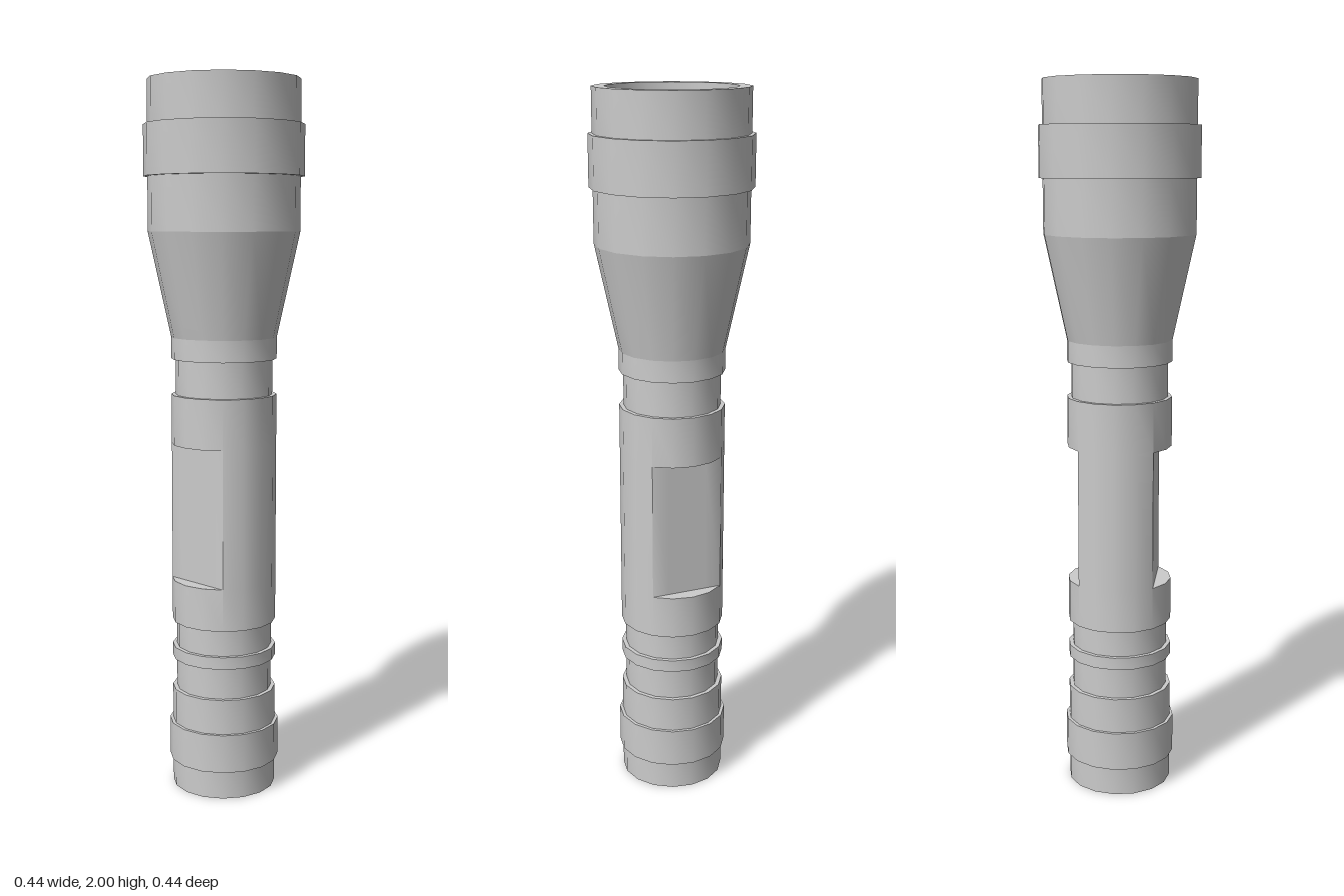
import * as THREE from 'three';
import { toCreasedNormals } from 'three/addons/utils/BufferGeometryUtils.js';

const SIDES = 16;
const material = new THREE.MeshStandardMaterial({ color: 0xcccccc });

// Turned part from [radius, height] pairs, smooth around and sharp at the steps
function turned(name, profile, reshape) {
  const points = profile.map(([r, y]) => new THREE.Vector2(r, y));
  const geometry = new THREE.LatheGeometry(points, SIDES);
  if (reshape) reshape(geometry.attributes.position, points.length);
  const mesh = new THREE.Mesh(toCreasedNormals(geometry, 0.6), material);
  mesh.name = name;
  return mesh;
}

export function createModel() {
  const group = new THREE.Group();
  group.name = 'flashlight';

  const grip = 0.148, groove = 0.136, ring = 0.157;
  const head = 0.211, bezelRing = 0.222, lens = 0.178;

  // Tail end, with the switch disc set in its base
  group.add(turned('tailSwitch', [[0, 0], [0.123, 0]]));
  group.add(turned('tailCap', [
    [0.123, 0], [grip, 0], [grip, 0.08], [ring, 0.08], [ring, 0.19],
    [grip, 0.19], [grip, 0.29], [groove, 0.29],
  ]));
  group.add(turned('tailGrooves', [
    [groove, 0.29], [groove, 0.38], [grip, 0.38], [grip, 0.415],
    [groove, 0.415], [groove, 0.49],
  ]));

  // Barrel: the two middle rows are flattened to cut flats in front and back
  const flat = grip * Math.SQRT1_2;
  group.add(turned('barrel', [
    [groove, 0.49], [grip, 0.49], [grip, 0.61], [grip, 0.61],
    [grip, 1.0], [grip, 1.0], [grip, 1.14], [groove, 1.14],
  ], (position, rows) => {
    for (let i = 0; i < position.count; i++) {
      const row = i % rows;
      if (row === 3 || row === 4) {
        position.setZ(i, THREE.MathUtils.clamp(position.getZ(i), -flat, flat));
      }
    }
  }));
  group.add(turned('neck', [[groove, 1.14], [groove, 1.24]]));

  // Head: collar, flare and bezel are separate so their joints stay crisp
  group.add(turned('headCollar', [[groove, 1.24], [grip, 1.24], [grip, 1.3]]));
  group.add(turned('headFlare', [[grip, 1.3], [head, 1.59]]));
  group.add(turned('bezel', [
    [head, 1.59], [head, 1.74], [bezelRing, 1.74], [bezelRing, 1.88],
    [head, 1.88], [head, 2], [lens, 2], [lens, 1.88],
  ]));
  group.add(turned('lens', [[lens, 1.88], [0, 1.88]]));

  return group;
}
